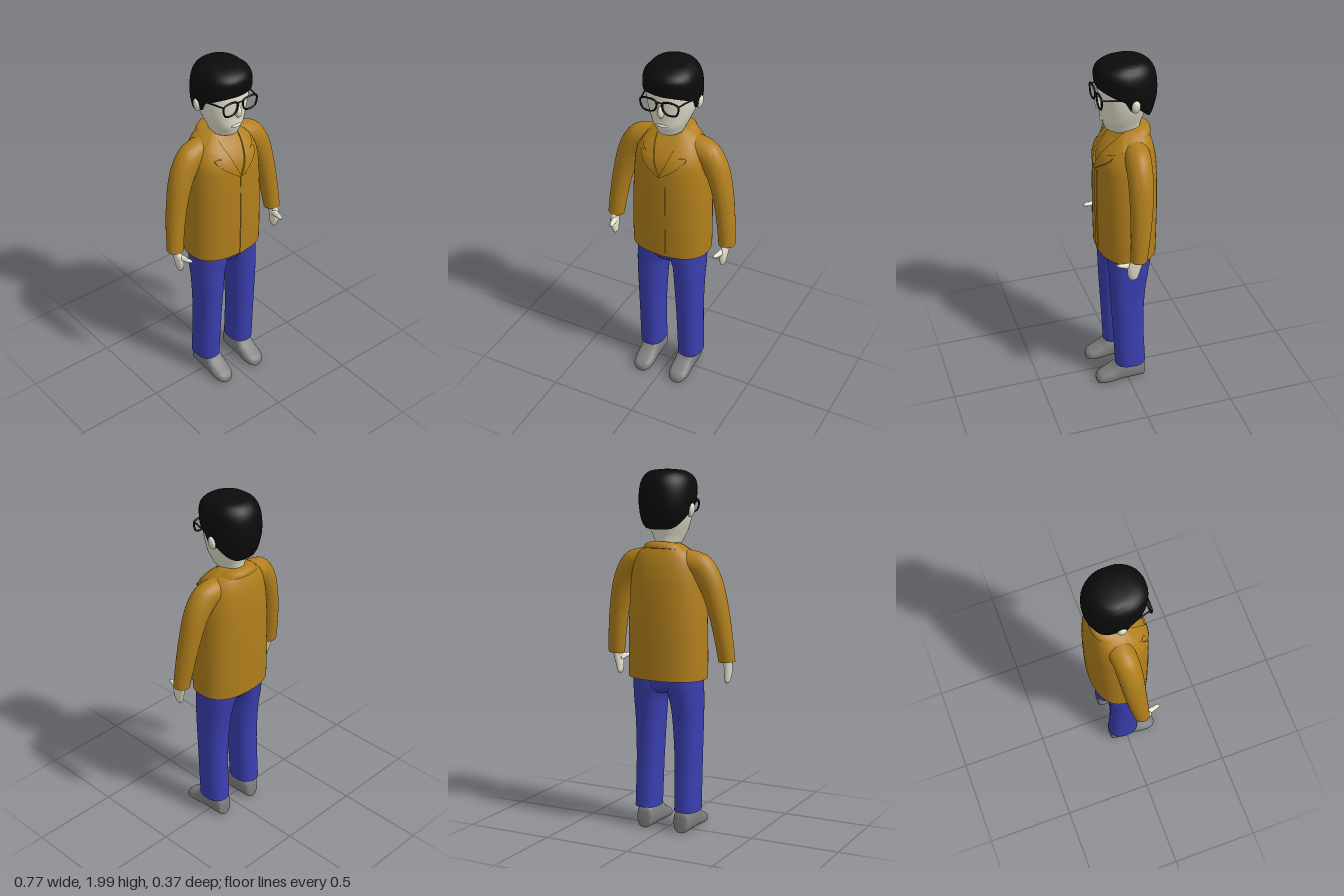
import * as THREE from 'three';
import { toCreasedNormals } from 'three/addons/utils/BufferGeometryUtils.js';

const mat = (color) => new THREE.MeshStandardMaterial({ color, side: THREE.DoubleSide });
const JACKET = mat(0xb17f1c), PANTS = mat(0x3a3fb0), SKIN = mat(0xe6e3d0);
const HAIR = mat(0x0b0b0b), SHOE = mat(0x808080), FRAME = mat(0x101010);

// A section is [x, y, z, rx, rz, tilt]; fb makes one from its front and back z.
const fb = (y, rx, zf, zb, x = 0) => [x, y, (zf + zb) / 2, rx, (zf - zb) / 2, 0];

// Fill in sections between the given ones along a smooth curve.
function smooth(sections, sub = 4) {
  const out = [], last = sections.length - 1;
  for (let i = 0; i < last; i++) {
    const [p, a, b, q] = [i - 1, i, i + 1, i + 2].map((k) => sections[Math.min(last, Math.max(0, k))]);
    for (let s = 0; s < sub; s++) {
      const t = s / sub;
      out.push([0, 1, 2, 3, 4, 5].map((k) => {
        const [P, A, B, Q] = [p, a, b, q].map((v) => v[k] || 0);
        return A + 0.5 * t * (B - P + t * (2 * P - 5 * A + 4 * B - Q + t * (3 * (A - B) + Q - P)));
      }));
    }
  }
  out.push(sections[last]);
  return out;
}

// Skin a row of rounded sections, listed upwards, with a flat cap at each end.
function loft(sections, { n = 2, sides = 36, pitch = 0, warp = null } = {}) {
  const rows = smooth(sections), pos = [], idx = [];
  const pw = (v) => Math.sign(v) * Math.abs(v) ** (2 / n);
  for (const [x, y, z, rx, rz, tilt = 0] of rows) {
    for (let j = 0; j < sides; j++) {
      const t = (j / sides) * Math.PI * 2, u = rx * pw(Math.cos(t)), w = rz * pw(Math.sin(t));
      pos.push(x + u * Math.cos(tilt), y + u * Math.sin(tilt) + pitch * w, z + w);
    }
  }
  for (let i = 0; i < rows.length - 1; i++) {
    for (let j = 0; j < sides; j++) {
      const a = i * sides + j, b = i * sides + ((j + 1) % sides);
      idx.push(a, a + sides, b, b, a + sides, b + sides);
    }
  }
  const top = (rows.length - 1) * sides, c = rows.length * sides;
  pos.push(...rows[0].slice(0, 3), ...rows[rows.length - 1].slice(0, 3));
  for (let j = 0; j < sides; j++) {
    const k = (j + 1) % sides;
    idx.push(c, j, k, c + 1, top + k, top + j);
  }
  if (warp) for (let i = 0; i < pos.length; i += 3) pos[i + 1] = warp(pos[i + 1], pos[i + 2]);
  const geo = new THREE.BufferGeometry();
  geo.setAttribute('position', new THREE.Float32BufferAttribute(pos, 3));
  geo.setIndex(idx);
  return toCreasedNormals(geo, 0.9);
}

function add(parent, name, geo, material) {
  const m = new THREE.Mesh(geo, material);
  m.name = name;
  parent.add(m);
  return m;
}

function ball(parent, name, material, [x, y, z], [a, b, c]) {
  const m = add(parent, name, new THREE.SphereGeometry(1, 20, 14), material);
  m.position.set(x, y, z);
  m.scale.set(a, b, c);
  return m;
}

const TORSO_N = 2.4;
const torso = [
  fb(0.87, 0.222, 0.14, -0.178), fb(1.0, 0.222, 0.143, -0.181), fb(1.2, 0.217, 0.145, -0.184),
  fb(1.38, 0.206, 0.142, -0.181), fb(1.46, 0.195, 0.13, -0.174), fb(1.52, 0.175, 0.093, -0.163),
  fb(1.565, 0.145, 0.05, -0.148), fb(1.6, 0.095, 0.015, -0.13), fb(1.612, 0.06, 0, -0.11),
];
const torsoRows = smooth(torso);

// Height of the jacket's front surface at x, y.
function chestZ(x, y) {
  let i = 0;
  while (i < torsoRows.length - 2 && torsoRows[i + 1][1] < y) i++;
  const a = torsoRows[i], b = torsoRows[i + 1];
  const t = THREE.MathUtils.clamp((y - a[1]) / (b[1] - a[1]), 0, 1);
  const [, , z, rx, rz] = a.map((v, k) => v + (b[k] - v) * t);
  return z + rz * Math.max(0, 1 - Math.abs(x / rx) ** TORSO_N) ** (1 / TORSO_N);
}

// Thin cloth laid on the chest; rows of [y, inner x, outer x].
function clothPatch(rows, lift, cols = 10) {
  const pos = [], idx = [], w = cols + 3;
  rows.forEach(([y, x0, x1], i) => {
    for (let j = 0; j < w; j++) {
      const t = THREE.MathUtils.clamp((j - 1) / cols, 0, 1), x = x0 + (x1 - x0) * t;
      const edge = j === 0 || j === w - 1;
      pos.push(x, y, chestZ(x, y) + (edge ? -0.01 : lift));
      if (i && j) {
        const d = i * w + j;
        idx.push(d, d - w, d - w - 1, d, d - w - 1, d - 1);
      }
    }
  });
  const geo = new THREE.BufferGeometry();
  geo.setAttribute('position', new THREE.Float32BufferAttribute(pos, 3));
  geo.setIndex(idx);
  return toCreasedNormals(geo, 0.7);
}

// Lower edge of the hair: high fringe, sideburns, low nape.
function hairline(z) {
  const line = [[-0.19, 1.675], [-0.13, 1.69], [-0.06, 1.76], [-0.005, 1.765], [0.02, 1.815], [0.12, 1.86], [0.2, 1.865]];
  let i = 0;
  while (i < line.length - 2 && line[i + 1][0] < z) i++;
  const [[za, ya], [zb, yb]] = [line[i], line[i + 1]];
  return ya + (yb - ya) * THREE.MathUtils.clamp((z - za) / (zb - za), 0, 1);
}

// One side's arm, leg, ear and glasses half, on the model's left.
function side() {
  const g = new THREE.Group();
  add(g, 'sleeve', loft([
    [0.341, 0.975, 0.008, 0.046, 0.044, 0.08], [0.327, 1.1, -0.005, 0.05, 0.052, 0.14],
    [0.302, 1.25, -0.018, 0.056, 0.06, 0.22], [0.263, 1.39, -0.027, 0.066, 0.066, 0.45],
    [0.21, 1.475, -0.033, 0.075, 0.068, 0.85], [0.15, 1.5, -0.04, 0.076, 0.07, 1.15],
    [0.07, 1.51, -0.045, 0.07, 0.07, 1.4],
  ]), JACKET);
  add(g, 'hand', loft([
    [0.332, 0.852, 0.035, 0.006, 0.012], [0.333, 0.865, 0.035, 0.013, 0.024], [0.336, 0.9, 0.036, 0.018, 0.034],
    [0.34, 0.945, 0.028, 0.02, 0.038], [0.341, 0.99, 0.01, 0.025, 0.029],
  ], { sides: 20 }), SKIN);
  add(g, 'thumb', loft([
    [0.336, 0.02, -0.94, 0.018, 0.024], [0.327, 0.07, -0.944, 0.015, 0.016],
    [0.319, 0.112, -0.948, 0.011, 0.01], [0.317, 0.125, -0.949, 0.003, 0.003],
  ], { sides: 16 }).rotateX(Math.PI / 2), SKIN);

  add(g, 'trouserLeg', loft([
    fb(0.125, 0.069, 0.07, -0.105, 0.122), fb(0.4, 0.071, 0.084, -0.092, 0.119),
    fb(0.62, 0.078, 0.096, -0.1, 0.115), fb(0.74, 0.085, 0.1, -0.118, 0.111),
    fb(0.79, 0.093, 0.102, -0.127, 0.103), fb(0.83, 0.098, 0.104, -0.134, 0.098), fb(0.93, 0.098, 0.104, -0.14, 0.098),
  ], { n: 2.4 }), PANTS);
  // Shoe sections run from heel to toe, [width, top height] along z.
  const shoe = [[-0.1, 0.03, 0.1], [-0.088, 0.046, 0.13], [-0.03, 0.052, 0.15], [0.04, 0.054, 0.145],
    [0.085, 0.057, 0.105], [0.13, 0.056, 0.078], [0.165, 0.046, 0.06], [0.182, 0.026, 0.042]];
  add(g, 'shoe', loft(shoe.map(([z, w, h]) => [0.114, z, -h / 2 - 0.004, w, h / 2 - 0.004, 0]), { n: 2.7, sides: 28 })
    .rotateX(Math.PI / 2), SHOE);

  add(g, 'lapel', clothPatch([
    [1.6, 0.062, 0.085], [1.575, 0.066, 0.115], [1.55, 0.062, 0.142], [1.53, 0.056, 0.152], [1.512, 0.05, 0.125],
    [1.5, 0.046, 0.095], [1.494, 0.044, 0.13], [1.48, 0.04, 0.128], [1.45, 0.029, 0.1], [1.42, 0.016, 0.06], [1.385, 0, 0.012],
  ], 0.01), JACKET);

  ball(g, 'ear', SKIN, [0.146, 1.785, -0.035], [0.017, 0.038, 0.024]).rotation.z = -0.2;
  const p = (x, y, z) => new THREE.Vector3(x, y, z);
  const rim = [[0.018, 1.825], [0.035, 1.836], [0.085, 1.838], [0.107, 1.828], [0.106, 1.795], [0.092, 1.772], [0.045, 1.768], [0.023, 1.785]];
  add(g, 'glassesRim', new THREE.TubeGeometry(
    new THREE.CatmullRomCurve3(rim.map(([x, y]) => p(x, y, 0.134)), true), 48, 0.005, 8, true), FRAME);
  add(g, 'glassesTemple', new THREE.TubeGeometry(
    new THREE.CatmullRomCurve3([p(0.105, 1.826, 0.134), p(0.128, 1.824, 0.05), p(0.15, 1.82, -0.03), p(0.154, 1.8, -0.05)]), 20, 0.004, 8), FRAME);
  return g;
}

export function createModel() {
  const model = new THREE.Group();
  model.name = 'standingMan';

  const left = side(), right = side();
  left.name = 'leftSide';
  right.name = 'rightSide';
  right.scale.x = -1;
  model.add(left, right);

  // Clothes
  add(model, 'jacket', loft(torso, { n: TORSO_N, sides: 48 }), JACKET);
  add(model, 'collar', loft([
    fb(1.567, 0.122, 0.025, -0.158), fb(1.592, 0.108, 0.015, -0.15), fb(1.607, 0.084, 0, -0.126),
  ], { pitch: -0.22 }), JACKET);
  const placket = Array.from({ length: 14 }, (_, i) => [1.385 - i * 0.0396, 0, 0.036]);
  add(model, 'placket', clothPatch(placket, 0.004, 3), JACKET);
  add(model, 'hips', loft([fb(0.79, 0.05, 0.07, -0.1), fb(0.83, 0.15, 0.1, -0.132), fb(0.93, 0.19, 0.104, -0.14)], { n: 2.6 }), PANTS);

  // Head
  add(model, 'head', loft([
    fb(1.5, 0.06, 0, -0.1), fb(1.575, 0.054, 0.012, -0.1), fb(1.59, 0.052, 0.05, -0.1), fb(1.61, 0.066, 0.082, -0.102),
    fb(1.64, 0.08, 0.097, -0.108), fb(1.67, 0.095, 0.108, -0.118), fb(1.72, 0.116, 0.111, -0.135), fb(1.78, 0.133, 0.117, -0.155),
    fb(1.84, 0.139, 0.122, -0.165), fb(1.9, 0.13, 0.11, -0.16), fb(1.95, 0.08, 0.06, -0.1),
  ], { n: 2.1 }), SKIN);
  ball(model, 'nose', SKIN, [0, 1.762, 0.116], [0.018, 0.034, 0.024]);
  ball(model, 'mouth', SKIN, [0, 1.676, 0.105], [0.032, 0.01, 0.01]);
  // Hair sections run from 0 at the hairline to 1 at the crown.
  add(model, 'hair', loft([
    fb(0, 0.143, 0.133, -0.15), fb(0.1, 0.149, 0.138, -0.165), fb(0.35, 0.152, 0.142, -0.186), fb(0.6, 0.149, 0.138, -0.188),
    fb(0.78, 0.136, 0.118, -0.178), fb(0.9, 0.113, 0.088, -0.155), fb(0.97, 0.083, 0.05, -0.12), fb(1, 0.03, 0, -0.06),
  ], { n: 2.15, warp: (s, z) => hairline(z) + s * (2 - hairline(z)) }), HAIR);

  const bridge = add(model, 'glassesBridge', new THREE.TorusGeometry(0.019, 0.004, 8, 16, Math.PI), FRAME);
  bridge.position.set(0, 1.815, 0.134);
  bridge.scale.y = 0.6;
  return model;
}
